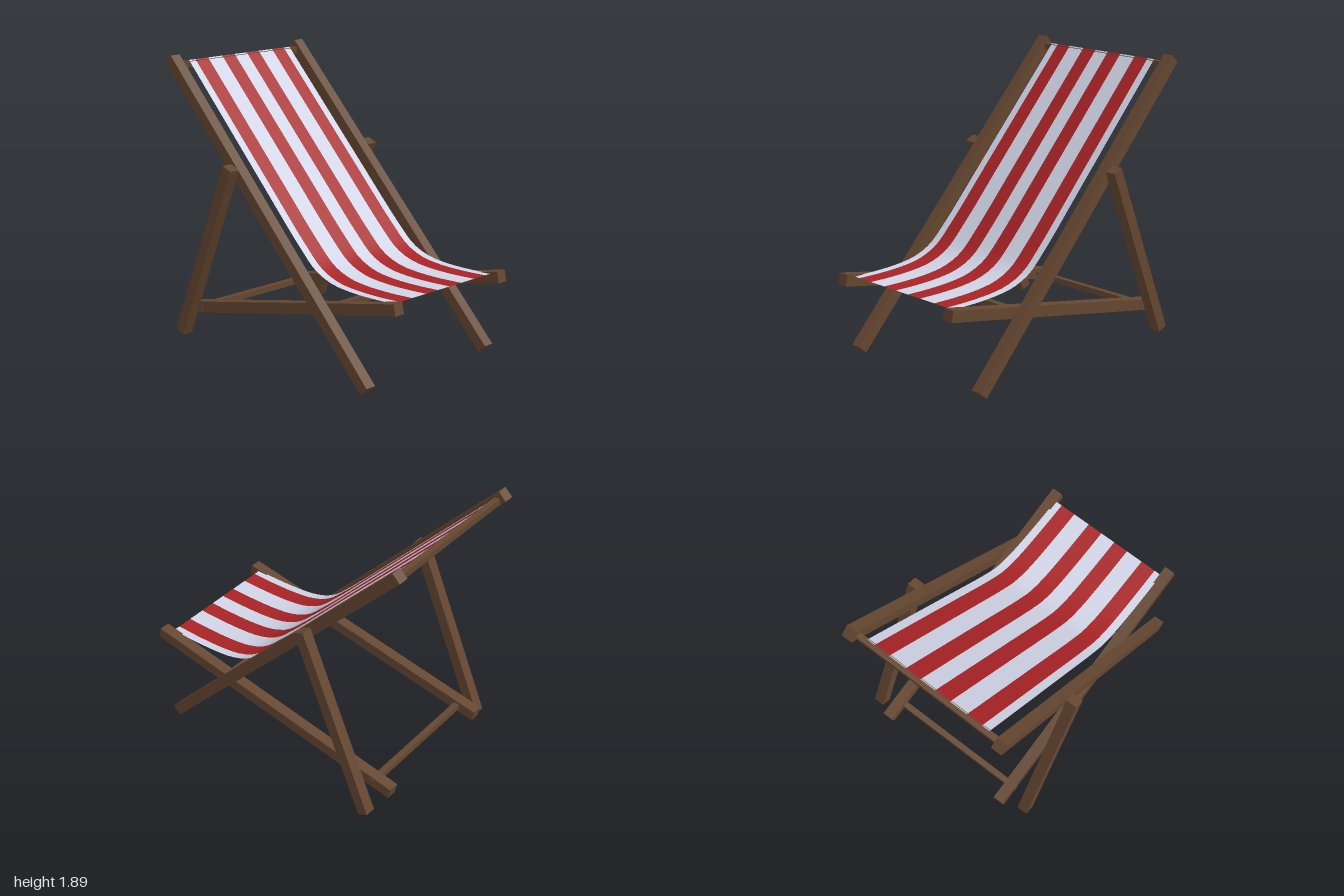
import * as THREE from 'three';

const wood = new THREE.MeshStandardMaterial({ name: 'brown wood', color: 0x654731 });
const white = new THREE.MeshStandardMaterial({ name: 'white canvas', color: 0xd0d4e6, side: THREE.DoubleSide });
const red = new THREE.MeshStandardMaterial({ name: 'red canvas', color: 0xa82325, side: THREE.DoubleSide });

const BEAM = 0.075;
const ROD = 0.04;

// Square beam at a given x, running between two [z, y] points
function beam(name, x, [z0, y0], [z1, y1]) {
  const dz = z1 - z0, dy = y1 - y0;
  const mesh = new THREE.Mesh(new THREE.BoxGeometry(BEAM, BEAM, Math.hypot(dz, dy)), wood);
  mesh.position.set(x, (y0 + y1) / 2, (z0 + z1) / 2);
  mesh.rotation.x = -Math.atan2(dy, dz);
  mesh.name = name;
  return mesh;
}

// Cross bar along x
function crossBar(name, y, z) {
  const mesh = new THREE.Mesh(new THREE.BoxGeometry(1.05, ROD, ROD), wood);
  mesh.position.set(0, y, z);
  mesh.name = name;
  return mesh;
}

// Side profile of the canvas, from the top bar down to the front edge
const profile = new THREE.CatmullRomCurve3([
  [1.85, -0.93], [1.489, -0.58], [1.128, -0.23], [0.775, 0.115], [0.648, 0.26],
  [0.592, 0.4], [0.573, 0.55], [0.57, 0.75], [0.577, 0.925],
].map(([y, z]) => new THREE.Vector3(0, y, z)), false, 'centripetal');

// One lengthwise stripe of canvas between two x positions
function stripe(x0, x1, material, name) {
  const rows = 40;
  const geo = new THREE.PlaneGeometry(x1 - x0, 1, 1, rows);
  const pos = geo.attributes.position;
  const points = profile.getSpacedPoints(rows);
  for (let i = 0; i < pos.count; i++) {
    const p = points[Math.floor(i / 2)];
    pos.setXYZ(i, i % 2 ? x1 : x0, p.y, p.z);
  }
  geo.computeVertexNormals();
  const mesh = new THREE.Mesh(geo, material);
  mesh.name = name;
  return mesh;
}

export function createModel() {
  const model = new THREE.Group();
  model.name = 'deckChair';

  // Mirrored side frames
  for (const [side, s] of [['left', 1], ['right', -1]]) {
    const frame = new THREE.Group();
    frame.name = side + 'Frame';
    frame.add(
      beam('backRail', s * 0.5575, [0.812, 0.0265], [-0.973, 1.865]),
      beam('seatRail', s * 0.4825, [0.992, 0.565], [-0.925, 0.162]),
      beam('supportLeg', s * 0.6325, [-0.325, 1.24], [-0.829, 0.045]),
    );
    model.add(frame);
  }

  // Bars joining the frames
  model.add(
    crossBar('topBar', 1.823, -0.94),
    crossBar('middleBar', 0.445, 0.42),
    crossBar('rearBar', 0.19, -0.79),
  );

  // Striped sling, alternating white and red
  const sling = new THREE.Group();
  sling.name = 'sling';
  const edges = [-0.455, -0.4, -0.29, -0.165, -0.055, 0.055, 0.165, 0.29, 0.4, 0.455];
  for (let i = 0; i < edges.length - 1; i++) {
    const isRed = i % 2 === 1;
    sling.add(stripe(edges[i], edges[i + 1], isRed ? red : white, isRed ? 'redStripe' : 'whiteStripe'));
  }
  model.add(sling);
  return model;
}
